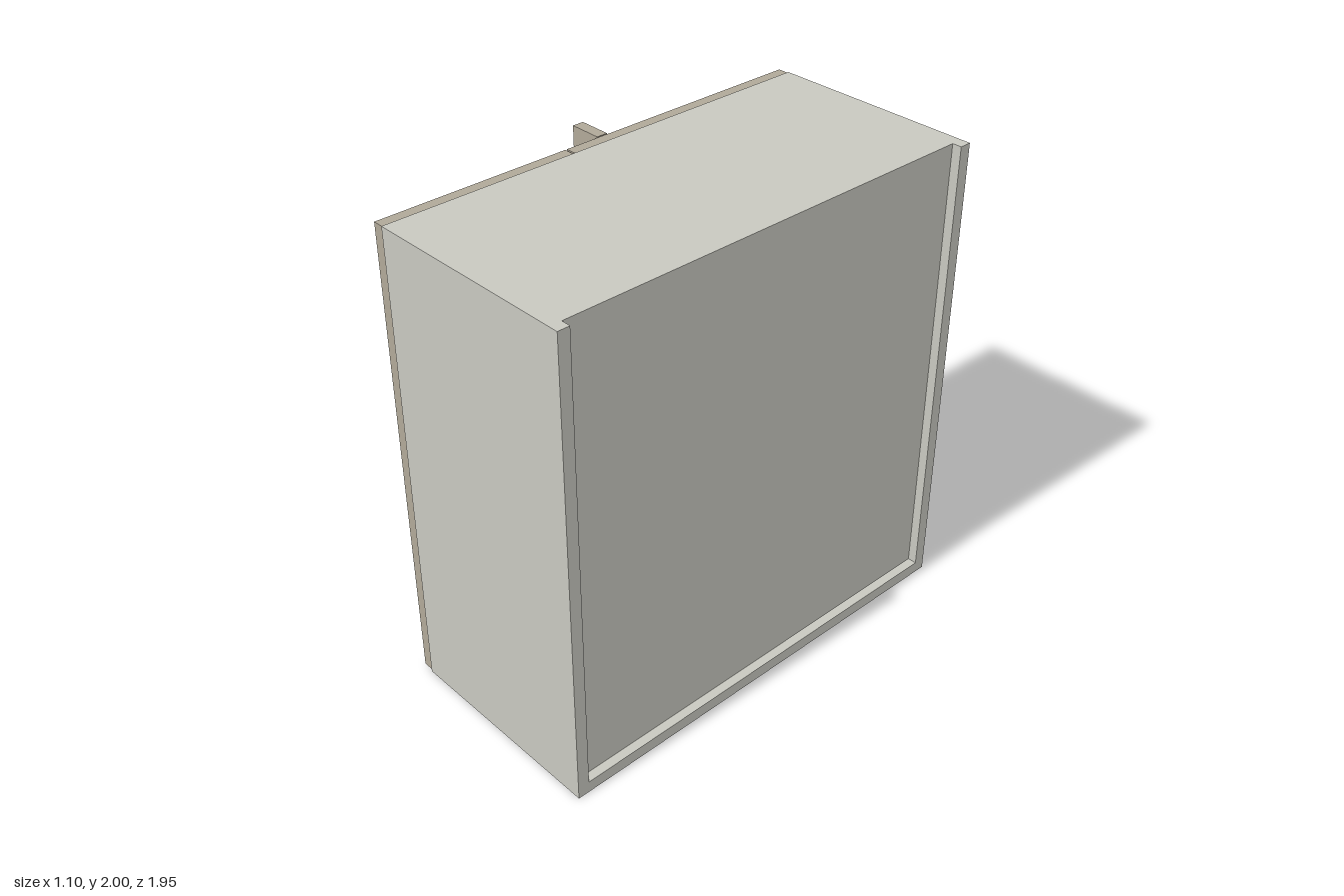
import * as THREE from 'three';

export function createModel() {
  const group = new THREE.Group();
  const mat = (name, color) => {
    const m = new THREE.MeshStandardMaterial({ color });
    m.name = name;
    return m;
  };
  const carcass = mat('pale grey board', 0xc8c8c0);
  const front = mat('taupe front', 0xb0a898);

  // Box given by its minimum and maximum on each axis
  const board = (name, material, [x0, x1], [y0, y1], [z0, z1], parent = group) => {
    const mesh = new THREE.Mesh(new THREE.BoxGeometry(x1 - x0, y1 - y0, z1 - z0), material);
    mesh.position.set((x0 + x1) / 2, (y0 + y1) / 2, (z0 + z1) / 2);
    mesh.name = name;
    parent.add(mesh);
  };

  // Carcass: two full-depth sides, with the top stopping at the recessed back
  const inner = [-0.925, 0.922];
  board('leftSide', carcass, [-0.365, 0.55], [0, 2], [0.922, 0.972]);
  board('rightSide', carcass, [-0.365, 0.55], [0, 2], [-0.975, -0.925]);
  board('bottomPanel', carcass, [-0.365, 0.55], [0, 0.05], inner);
  board('topPanel', carcass, [-0.365, 0.502], [1.95, 2], inner);
  board('backPanel', carcass, [0.502, 0.511], [0.05, 2], inner);

  // Fronts on the -x face: fixed blind panel, door and projecting filler strip
  board('blindPanel', front, [-0.415, -0.367], [0.004, 1.996], [-0.975, 0.132]);
  board('door', front, [-0.415, -0.367], [0.004, 1.996], [0.141, 0.967]);
  board('fillerStrip', front, [-0.553, -0.415], [0, 2], [-0.06, -0.012]);

  // Bar handle with two wide feet
  const handle = new THREE.Group();
  handle.name = 'handle';
  group.add(handle);
  const y = [0.13, 0.15];
  board('handleBar', front, [-0.493, -0.472], y, [0.398, 0.712], handle);
  for (const z of [[0.335, 0.398], [0.712, 0.777]]) {
    board('handleFoot', front, [-0.493, -0.415], y, z, handle);
  }
  return group;
}
